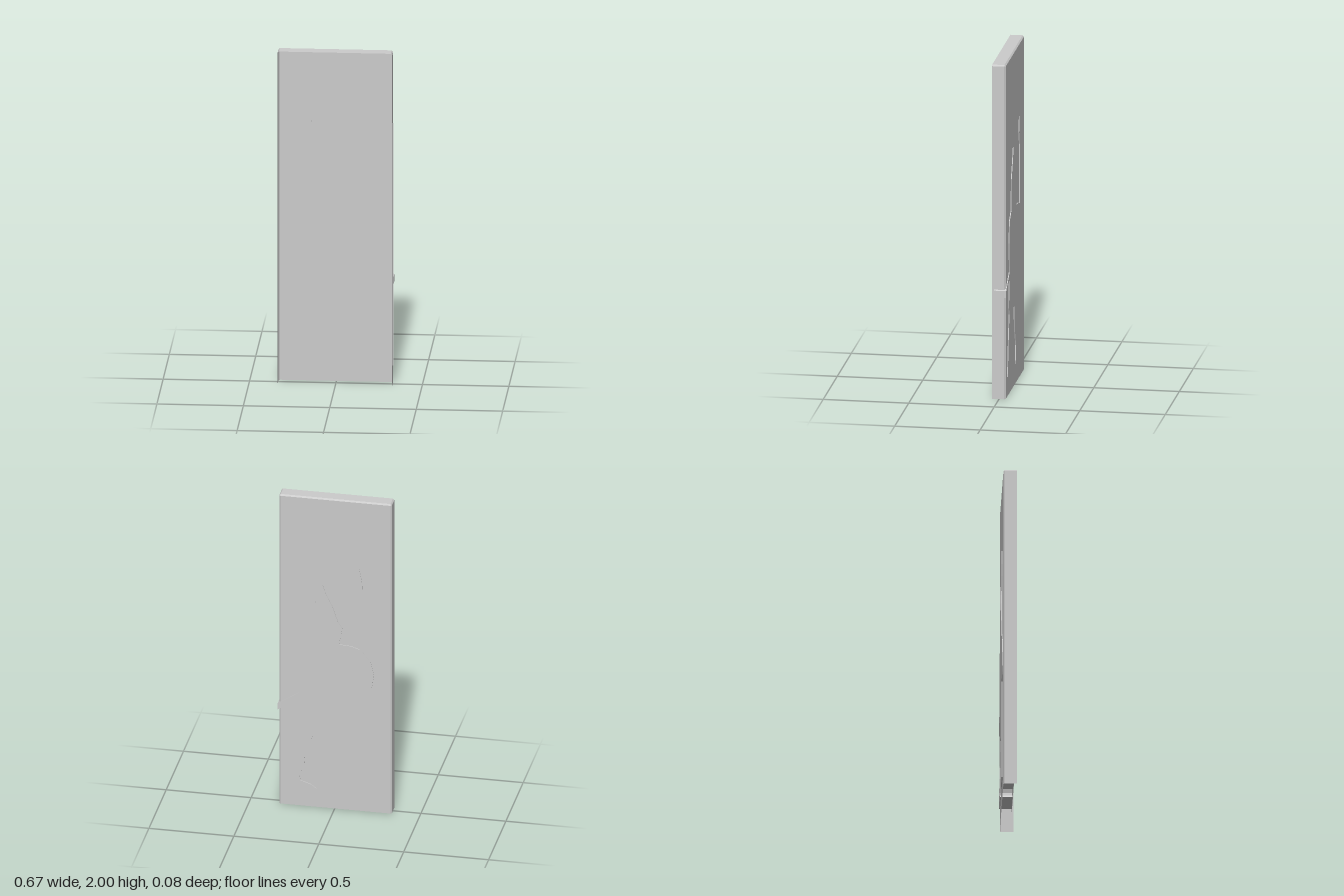
import * as THREE from 'three';

const material = new THREE.MeshStandardMaterial({ color: 0xcccccc, flatShading: true, side: THREE.DoubleSide });

function addMesh(group, name, geometry) {
  const mesh = new THREE.Mesh(geometry, material);
  mesh.name = name;
  group.add(mesh);
  return mesh;
}

// Arch-shaped contour (open at the bottom) with clipped top corners
function arch(left, right, top, clip, z) {
  return [
    [left, 0, z], [left, top - clip, z], [left + clip, top, z],
    [right - clip, top, z], [right, top - clip, z], [right, 0, z],
  ];
}

// Shallow sheet tray: side and top flanges, bevelled into a flat back
function trayGeometry() {
  const b = 0.008;
  const rings = [
    arch(-0.335, 0.328, 2, b, 0.041),
    arch(-0.335, 0.328, 2, b, -0.03),
    arch(-0.335 + b, 0.328 - b, 2 - b, 0.001, -0.038),
  ];
  const positions = [];
  for (let r = 0; r < 2; r++) {
    for (let i = 0; i < 5; i++) {
      const [p, q, s, t] = [rings[r][i], rings[r][i + 1], rings[r + 1][i + 1], rings[r + 1][i]];
      positions.push(...p, ...s, ...q, ...p, ...t, ...s);
    }
  }
  const back = rings[2];
  for (let i = 1; i < 5; i++) positions.push(...back[0], ...back[i], ...back[i + 1]);
  const geometry = new THREE.BufferGeometry();
  geometry.setAttribute('position', new THREE.Float32BufferAttribute(positions, 3));
  geometry.computeVertexNormals();
  return geometry;
}

// Standing figure with spear, round shield and lowered blade
const figureOutline = [
  // head, shoulder and arm
  [0.07, 1.44], [0.1, 1.353], [0.14, 1.264], [0.148, 1.08], [0.204, 1.034], [0.224, 0.904], [0.21, 0.763],
  // blade
  [0.21, 0.73], [0.335, 0.65], [0.335, 0.61], [0.215, 0.69],
  // leg and foot
  [0.231, 0.517], [0.217, 0.479], [0.245, 0.331], [0.273, 0.138], [0.273, 0.12], [0.107, 0.12],
  [0.14, 0.144], [0.2, 0.164], [0.206, 0.192], [0.18, 0.269], [0.174, 0.335], [0.14, 0.42], [0.125, 0.484],
  // hem, second leg and foot
  [0.045, 0.48], [0.031, 0.349], [-0.017, 0.23], [-0.003, 0.13], [-0.003, 0.12], [-0.167, 0.12],
  // shield rim
  [-0.167, 0.727], [-0.193, 0.758], [-0.219, 0.806], [-0.232, 0.886], [-0.212, 0.969], [-0.174, 1.017],
  // spear
  [-0.165, 1.03], [-0.165, 1.4], [-0.161, 1.478], [-0.145, 1.567], [-0.128, 1.474], [-0.147, 1.4],
  [-0.147, 1.045],
  // far shoulder and side of the head
  [-0.096, 1.061], [-0.026, 1.066], [-0.045, 1.171], [-0.019, 1.211], [0.013, 1.308], [0.05, 1.38],
];

export function createModel() {
  const group = new THREE.Group();
  group.name = 'reliefPanel';

  addMesh(group, 'tray', trayGeometry());

  // Flat sheet in front, reaching just past the right-hand flange
  const sheet = addMesh(group, 'frontSheet', new THREE.PlaneGeometry(0.583, 1.46));
  sheet.position.set(0.0435, 0.85, 0.031);

  // Figure runs from the sheet to just behind the tray's back
  const shape = new THREE.Shape(figureOutline.map(([x, y]) => new THREE.Vector2(x, y)));
  const figure = addMesh(group, 'figureRelief',
    new THREE.ExtrudeGeometry(shape, { depth: 0.073, bevelEnabled: false }));
  figure.position.z = -0.043;

  return group;
}
